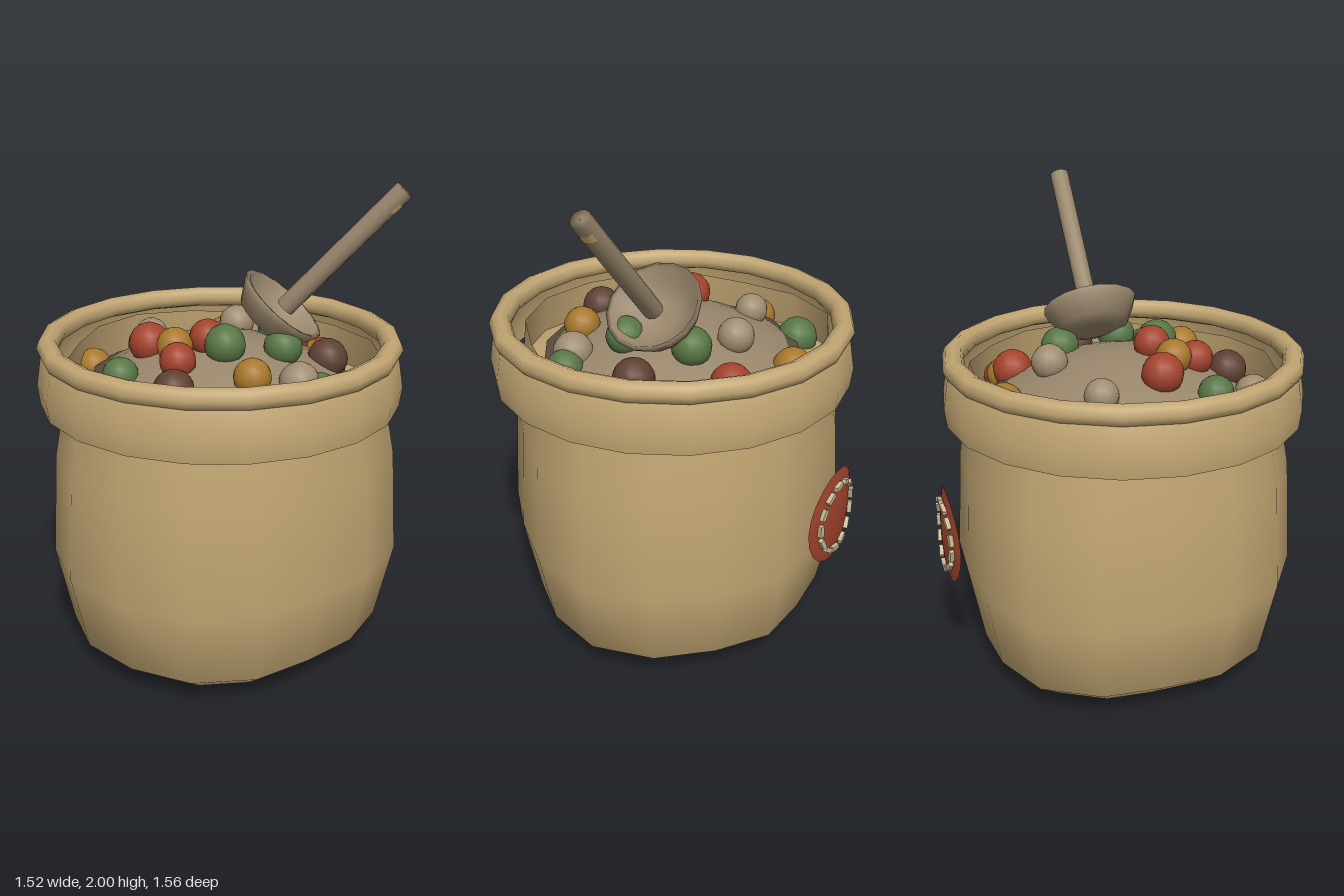
import * as THREE from 'three';
import { mergeVertices } from 'three/addons/utils/BufferGeometryUtils.js';

const mat = (name, color, side = THREE.FrontSide) => {
  const m = new THREE.MeshStandardMaterial({ color, side });
  m.name = name;
  return m;
};
const lathe = (pts, n) => new THREE.LatheGeometry(pts.map(([x, y]) => new THREE.Vector2(x, y)), n);

// Sack girth in 16 directions, from +x round through +z
const GIRTH = [0.76, 0.72, 0.69, 0.735, 0.76, 0.75, 0.75, 0.73, 0.69, 0.73, 0.75, 0.7, 0.67, 0.71, 0.705, 0.745];

// Lumpy version of a 16-sided lathe, with seamless smooth normals
function lumpy(pts) {
  const geo = lathe(pts, 16);
  const p = geo.attributes.position;
  for (let i = 0; i < p.count; i++) {
    const step = Math.round(Math.atan2(p.getZ(i), p.getX(i)) / (Math.PI / 8));
    const k = GIRTH[(step + 16) % 16] / 0.725;
    p.setX(i, p.getX(i) * k);
    p.setZ(i, p.getZ(i) * k);
  }
  geo.deleteAttribute('uv');
  geo.deleteAttribute('normal');
  const welded = mergeVertices(geo, 1e-4);
  welded.computeVertexNormals();
  return welded;
}

export function createModel() {
  const group = new THREE.Group();
  const cloth = mat('cloth', 0xc2a673, THREE.DoubleSide);
  const stew = mat('stewAndWood', 0x98866b);
  const edge = mat('darkStewEdge', 0x5c4e3f);
  const red = mat('red', 0xa4432d, THREE.DoubleSide);
  const green = mat('green', 0x587645);
  const amber = mat('amber', 0xa9782b);
  const brown = mat('brown', 0x5f4032);
  const beige = mat('beige', 0xa08d72);
  const thread = mat('thread', 0xc6ba94);
  const paleWood = mat('paleWood', 0xd8b272);

  const add = (name, geo, material, x = 0, y = 0, z = 0) => {
    const m = new THREE.Mesh(geo, material);
    m.name = name;
    m.position.set(x, y, z);
    group.add(m);
    return m;
  };

  // Sack: flat base, uneven bulging wall, ledge around the filling
  add('sackBody', lumpy([[0, 0], [0.51, 0], [0.655, 0.11], [0.725, 0.44], [0.7, 0.88],
    [0.66, 1.1], [0.64, 1.29]]), cloth);
  add('sackLedge', lumpy([[0.655, 1.13], [0.5, 1.17]]), cloth);

  // Turned-down cuff with a rolled rim
  add('cuff', lathe([[0.747, 1.1], [0.757, 1.18], [0.735, 1.315], [0.7, 1.34]], 20), cloth, 0, 0, 0.025);
  const roll = add('rolledRim', new THREE.TorusGeometry(0.708, 0.045, 8, 20), cloth, 0, 1.338, 0.025);
  roll.rotation.set(-Math.PI / 2, 0, Math.PI / 2);

  // Domed stew filling with a dark border
  const dome = [];
  for (let i = 6; i >= 0; i--) {
    const r = 0.49 * i / 6;
    dome.push([r, 1.36 - 0.6 * r * r]);
  }
  add('stewSurface', lathe(dome, 16), stew, 0, 0, 0.025);
  add('stewEdge', lathe([[0.54, 1.195], [0.49, 1.216]], 16), edge, 0, 0, 0.025);

  // Round morsels resting on the dome: x, z, radius
  const morsels = [
    ['redMorsel', red, [[-0.28, 0.1, 0.086], [-0.03, 0.14, 0.076], [-0.12, 0.3, 0.074],
      [0.25, -0.39, 0.086], [0.385, -0.415, 0.075]]],
    ['greenMorsel', green, [[-0.405, -0.36, 0.086], [-0.355, 0.3, 0.075], [0.05, 0.19, 0.084],
      [0.44, 0.26, 0.076], [0.27, 0.08, 0.08], [0.21, -0.19, 0.082]]],
    ['amberMorsel', amber, [[-0.07, -0.5, 0.085], [-0.575, -0.085, 0.076], [-0.155, 0.19, 0.075],
      [0.185, 0.35, 0.076], [0.29, -0.42, 0.075]]],
    ['brownMorsel', brown, [[-0.105, 0.45, 0.082], [0.44, -0.065, 0.085]]],
    ['beigeMorsel', beige, [[0.02, -0.285, 0.076], [-0.335, -0.17, 0.07], [0.36, 0.275, 0.082],
      [-0.235, 0.515, 0.08]]],
  ];
  for (const [name, material, spots] of morsels) {
    for (const [x, z, r] of spots) {
      const d2 = x * x + (z - 0.025) ** 2;
      add(name, new THREE.SphereGeometry(r, 14, 10), material, x, 1.395 - 0.68 * d2, z);
    }
  }

  // Ladle bowl with a thick lip
  const bowl = add('ladleBowl', lathe([[0, -0.125], [0.08, -0.122], [0.148, -0.1], [0.185, -0.035], [0.2, 0],
    [0.182, 0], [0.135, -0.07], [0.07, -0.095], [0, -0.1]], 16), stew, 0.255, 1.49, -0.043);
  bowl.rotation.z = -0.7;

  // Ladle handle with softened ends
  const from = new THREE.Vector3(0.26, 1.475, -0.045);
  const dir = new THREE.Vector3(0.72, 1.97, -0.045).sub(from);
  const len = dir.length();
  const handle = add('ladleHandle', lathe([[0, 0], [0.041, 0], [0.041, len], [0, len]], 12), stew);
  handle.position.copy(from);
  handle.quaternion.setFromUnitVectors(new THREE.Vector3(0, 1, 0), dir.normalize());

  // Small pale inlay under the handle's end
  const inlay = new THREE.Mesh(
    new THREE.CylinderGeometry(0.0425, 0.0425, 0.045, 8, 1, true, Math.PI / 2 - 1, 2), paleWood);
  inlay.name = 'handleInlay';
  inlay.position.y = len - 0.07;
  handle.add(inlay);

  // Round lens-shaped patch on the back, wrapped about the vertical axis
  const R = 0.205;
  const patchZ = (x, y, bulge) => -0.75 + 0.5 * x * x + bulge * (1 - (x * x + y * y) / (R * R));
  for (const [name, bulge, turn] of [['patchFront', -0.02, Math.PI], ['patchBack', 0.008, 0]]) {
    const geo = new THREE.RingGeometry(0.001, R, 20, 5);
    geo.rotateY(turn);
    const p = geo.attributes.position;
    for (let i = 0; i < p.count; i++) p.setZ(i, patchZ(p.getX(i), p.getY(i), bulge));
    geo.computeVertexNormals();
    add(name, geo, red, 0, 0.627, 0);
  }

  // Running stitches around the patch
  const count = 13;
  for (let i = 0; i < count; i++) {
    const a = i / count * Math.PI * 2;
    const x = 0.147 * Math.cos(a);
    const y = 0.147 * Math.sin(a);
    const s = add('stitch', new THREE.BoxGeometry(0.02, 0.05, 0.018), thread,
      x, 0.627 + y, patchZ(x, y, -0.02) - 0.009);
    s.rotation.set(0, -Math.atan(2 * x), a, 'YXZ');
  }
  return group;
}
